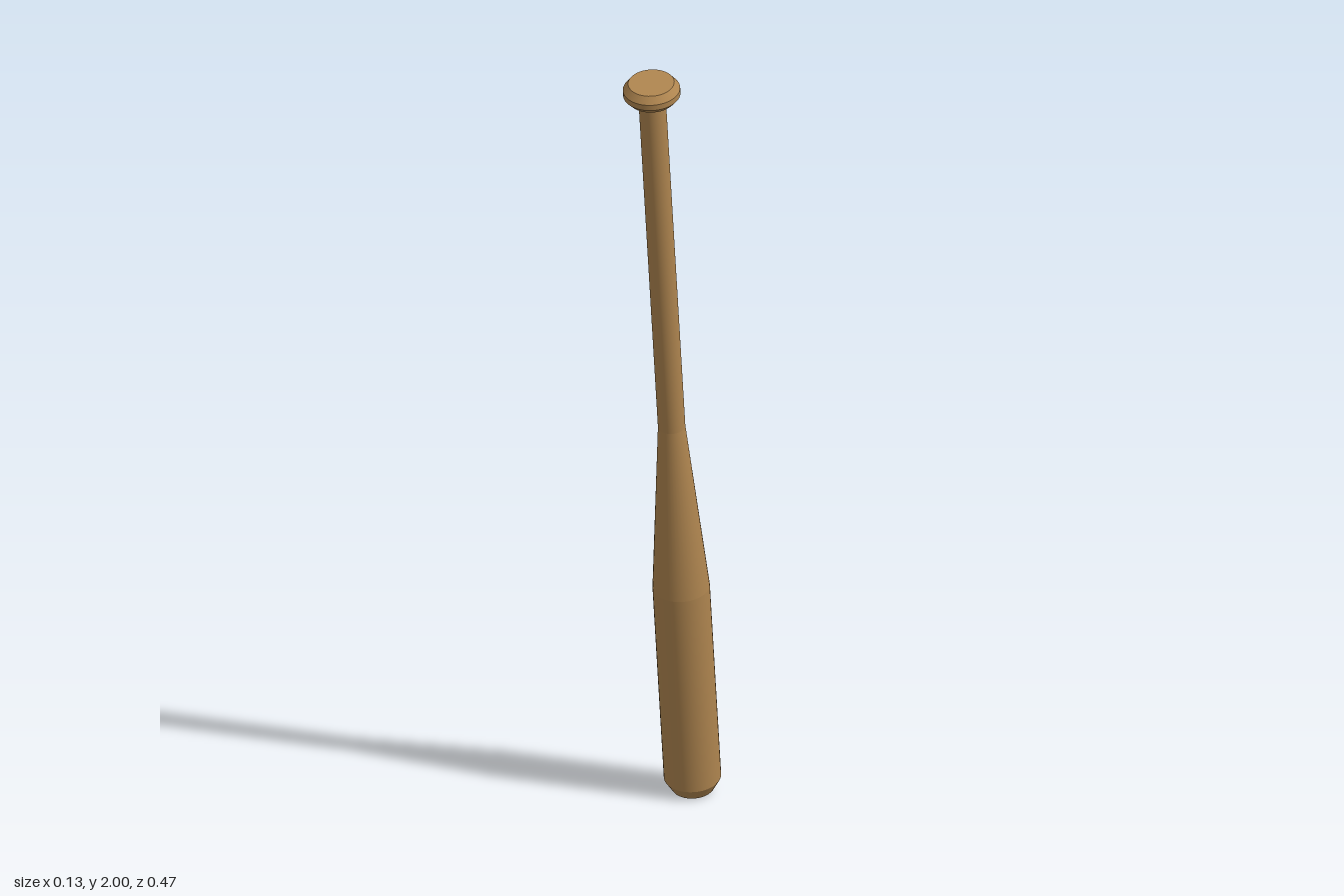
import * as THREE from 'three';

export function createModel() {
  const wood = new THREE.MeshStandardMaterial({ color: 0xb08650 });
  wood.name = 'wood';

  const model = new THREE.Group();
  model.name = 'bat';

  // Turned section between two heights along the bat's own axis
  const section = (name, y0, r0, y1, r1, open = true) => {
    const geometry = new THREE.CylinderGeometry(r1, r0, y1 - y0, 40, 1, open);
    const mesh = new THREE.Mesh(geometry, wood);
    mesh.name = name;
    mesh.position.y = (y0 + y1) / 2;
    return mesh;
  };

  // Barrel with a chamfered, closed end, then the taper and slim handle
  const bat = new THREE.Group();
  bat.name = 'tiltedBat';
  bat.add(
    section('barrelEnd', 0, 0.05, 0.03, 0.067, false),
    section('barrel', 0.03, 0.067, 0.574, 0.067),
    section('taper', 0.574, 0.067, 1.03, 0.032),
    section('handle', 1.03, 0.032, 1.975, 0.032)
  );

  // Knob: a short disc bevelled above and below
  const knob = new THREE.Group();
  knob.name = 'knob';
  knob.add(
    section('knobUnderside', 1.966, 0.055, 1.98, 0.067, false),
    section('knobRim', 1.98, 0.067, 1.995, 0.067),
    section('knobTop', 1.995, 0.067, 2.012, 0.054, false)
  );
  bat.add(knob);

  // Lean the handle forward, standing on the edge of the barrel end
  bat.rotation.x = THREE.MathUtils.degToRad(10);
  bat.position.set(0, 0.0087, -0.175);
  model.add(bat);
  return model;
}
